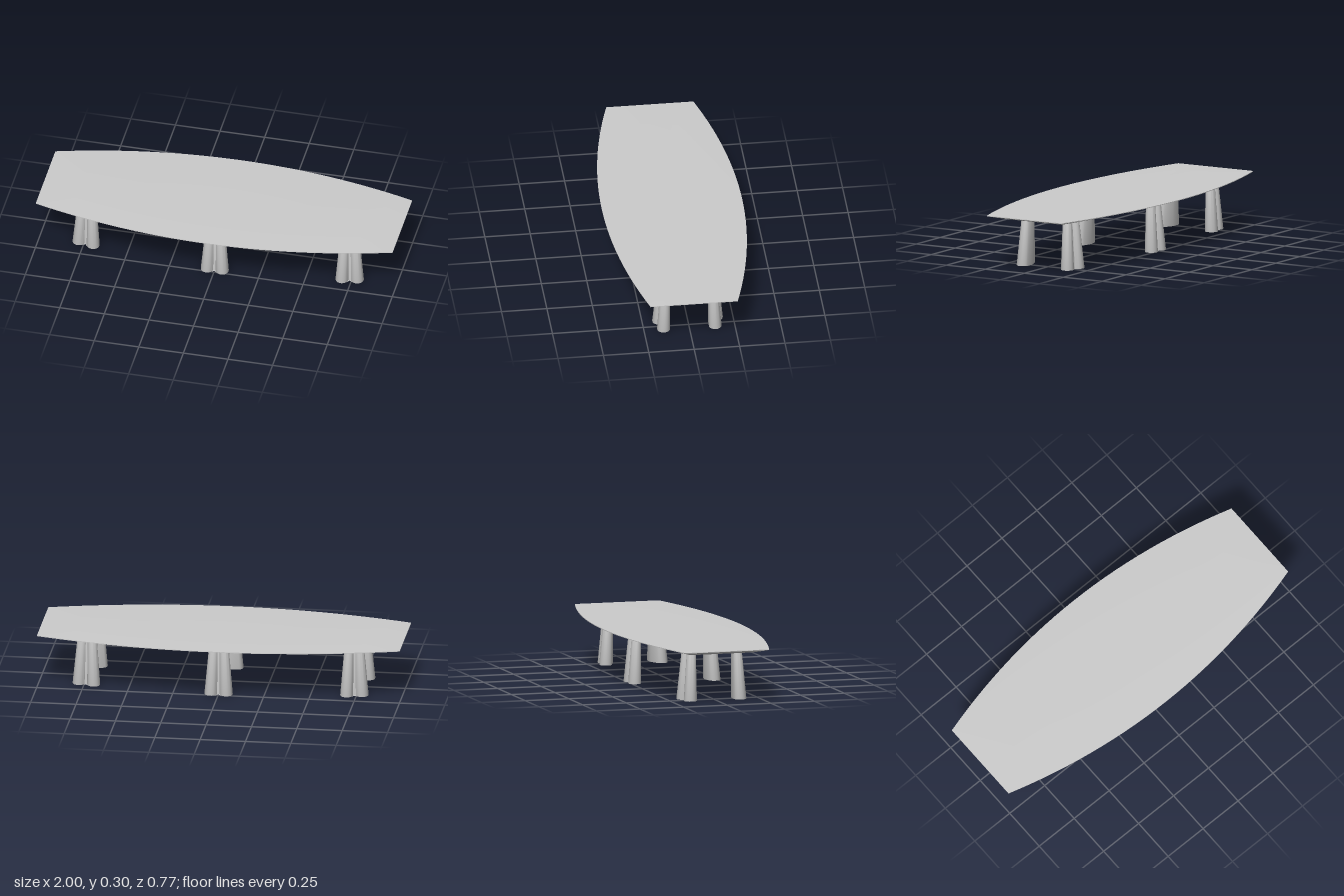
import * as THREE from 'three';
import { toCreasedNormals } from 'three/addons/utils/BufferGeometryUtils.js';

const material = new THREE.MeshStandardMaterial({ color: 0xcccccc });

// Skins a stack of equal-length loops, listed bottom to top, and closes both ends.
// Loops run anticlockwise as seen from above.
function loft(loops, crease) {
  const pos = [];
  const tri = (...pts) => pts.forEach((p) => pos.push(p.x, p.y, p.z));
  const n = loops[0].length;
  const middle = (loop) => loop.reduce((s, p) => s.add(p), new THREE.Vector3()).divideScalar(n);
  const bottom = loops[0], top = loops[loops.length - 1];
  const cb = middle(bottom), ct = middle(top);
  for (let i = 0; i < n; i++) {
    const j = (i + 1) % n;
    tri(cb, bottom[j], bottom[i]);
    tri(ct, top[i], top[j]);
    for (let k = 0; k + 1 < loops.length; k++) {
      const a = loops[k], b = loops[k + 1];
      tri(a[i], a[j], b[j]);
      tri(a[i], b[j], b[i]);
    }
  }
  const geometry = new THREE.BufferGeometry();
  geometry.setAttribute('position', new THREE.Float32BufferAttribute(pos, 3));
  return toCreasedNormals(geometry, crease);
}

// Boat-shaped outline: bowed long sides, straight ends
function boatLoop(halfLength, zMid, zEnd, y, steps = 28) {
  const loop = [];
  for (const side of [1, -1]) {
    for (let i = 0; i <= steps; i++) {
      const t = (2 * i) / steps - 1;
      const z = zMid - (zMid - zEnd) * t * t;
      loop.push(new THREE.Vector3(side * t * halfLength, y, side * z));
    }
  }
  return loop;
}

// Two-lobed leg section with its notch facing +z and its back at z = 0
function legLoop(scale, y, inset = 0) {
  const half = [];
  const r = 0.036 - inset;
  for (let i = 0; i <= 14; i++) {
    const a = THREE.MathUtils.degToRad(165 - (225 * i) / 14);
    half.push([0.042 + r * Math.cos(a), 0.043 + r * Math.sin(a)]);
  }
  const mirrored = half.map(([x, z]) => [-x, z]).reverse();
  return [...half, [0, inset], ...mirrored]
    .map(([x, z]) => new THREE.Vector3(x * scale, y, z * scale));
}

export function createModel() {
  const table = new THREE.Group();
  table.name = 'conferenceTable';

  // Table top: bevelled underside, thin rim, sloped border and flat centre panel
  const top = new THREE.Mesh(loft([
    boatLoop(0.9, 0.29, 0.18, 0.27),
    boatLoop(1, 0.387, 0.24, 0.294),
    boatLoop(1, 0.387, 0.24, 0.298),
    boatLoop(0.8, 0.186, 0.09, 0.302),
  ], 0.3), material);
  top.name = 'tableTop';
  table.add(top);

  // Legs: taper upward, three along each long side, turned to follow the curve
  const legGeometry = loft([
    legLoop(1, 0, 0.001),
    legLoop(1, 0.004),
    legLoop(0.69, 0.272),
  ], 0.6);
  for (const side of [1, -1]) {
    for (const end of [-1, 0, 1]) {
      const leg = new THREE.Mesh(legGeometry, material);
      leg.name = `${side > 0 ? 'front' : 'back'}Leg${['Right', 'Middle', 'Left'][end + 1]}`;
      leg.position.set(end * 0.73, 0, side * (end ? 0.108 : 0.184));
      const turn = end * 0.2;
      leg.rotation.y = side > 0 ? turn : Math.PI - turn;
      table.add(leg);
    }
  }
  return table;
}
